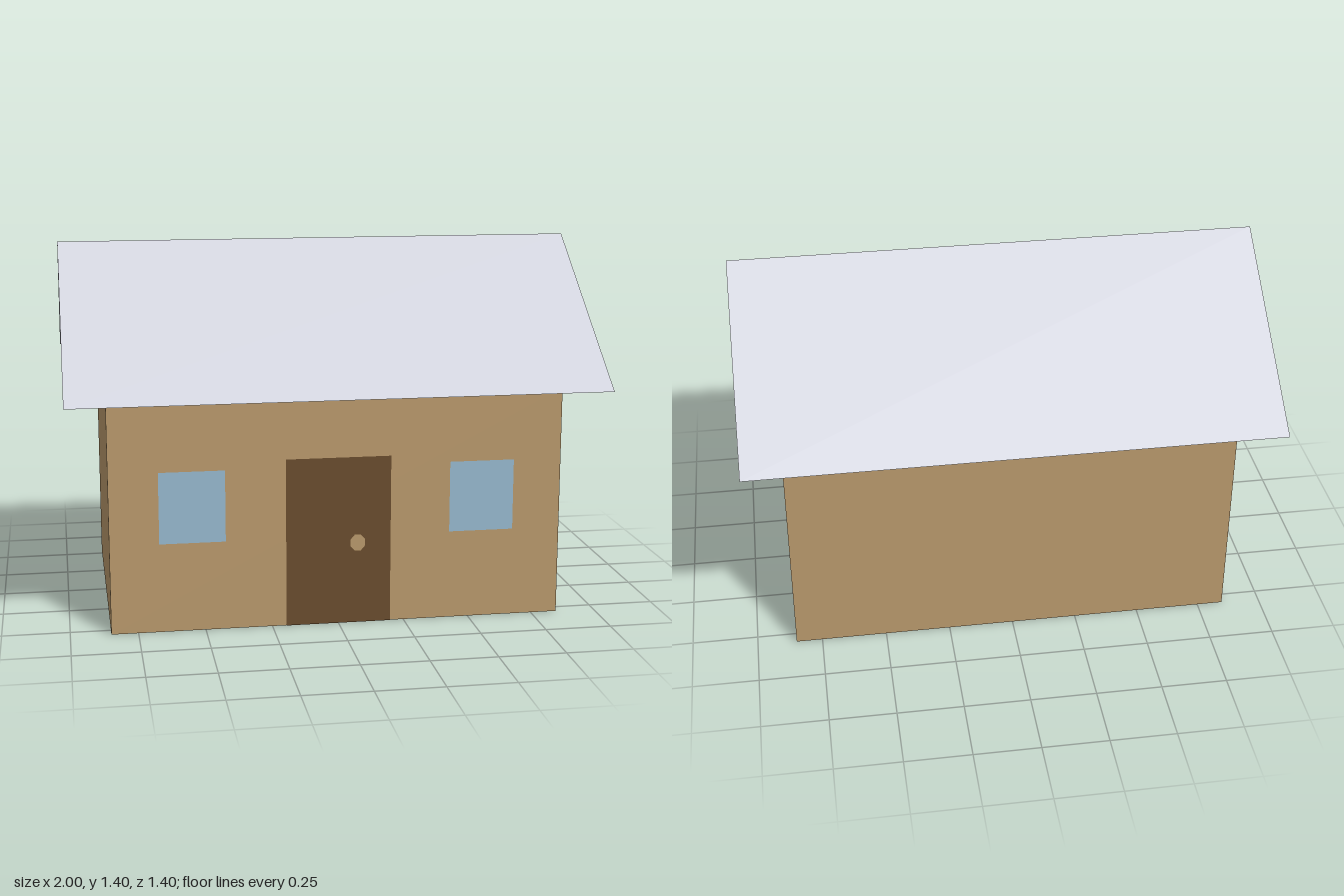
import * as THREE from 'three';

const material = (name, color) => {
  const m = new THREE.MeshStandardMaterial({ color, side: THREE.DoubleSide });
  m.name = name;
  return m;
};

export function createModel() {
  const house = new THREE.Group();
  house.name = 'house';
  const wall = material('tan wall', 0xb9996c);
  const roof = material('pale grey roof', 0xd0d2dc);
  const wood = material('dark brown wood', 0x694c2d);
  const glass = material('blue glass', 0x96b8ce);

  const W = 0.85, D = 0.548, H = 0.88, RIDGE = 1.397;
  const EAVE_Y = 0.885, EAVE_Z = 0.7;

  const add = (name, geometry, mat, x, y, z) => {
    const mesh = new THREE.Mesh(geometry, mat);
    mesh.name = name;
    mesh.position.set(x, y, z);
    house.add(mesh);
    return mesh;
  };

  // Long walls: single sheets, open underneath
  add('frontWall', new THREE.PlaneGeometry(2 * W, H), wall, 0, H / 2, D);
  add('backWall', new THREE.PlaneGeometry(2 * W, H), wall, 0, H / 2, -D).rotation.y = Math.PI;

  // Pentagonal gable walls
  const gable = new THREE.Shape([[-D, 0], [D, 0], [D, H], [0, RIDGE - 0.002], [-D, H]]
    .map(([x, y]) => new THREE.Vector2(x, y)));
  for (const s of [1, -1]) {
    add(s > 0 ? 'leftGable' : 'rightGable', new THREE.ShapeGeometry(gable), wall, s * W, 0, 0)
      .rotation.y = s * Math.PI / 2;
  }

  // Two thin roof sheets, shallower than the gables and overhanging the walls
  const rise = RIDGE - EAVE_Y;
  for (const s of [1, -1]) {
    const sheet = new THREE.PlaneGeometry(2, Math.hypot(rise, EAVE_Z));
    sheet.rotateX(-Math.atan2(EAVE_Z, rise));
    if (s < 0) sheet.rotateY(Math.PI);
    add(s > 0 ? 'frontRoof' : 'backRoof', sheet, roof, 0, (RIDGE + EAVE_Y) / 2, s * EAVE_Z / 2);
  }

  // Door, knob and windows lie almost flush on the front wall
  add('door', new THREE.PlaneGeometry(0.395, 0.64), wood, 0, 0.32, D + 0.003);
  const knob = new THREE.CircleGeometry(0.032, 8, Math.PI / 8);
  knob.scale(0.92, 1.06, 1);
  add('doorKnob', knob, wall, 0.072, 0.312, D + 0.006);
  for (const s of [1, -1]) {
    add(s > 0 ? 'leftWindow' : 'rightWindow', new THREE.PlaneGeometry(0.245, 0.27), glass,
      s * 0.545, 0.473, D + 0.003);
  }
  return house;
}
